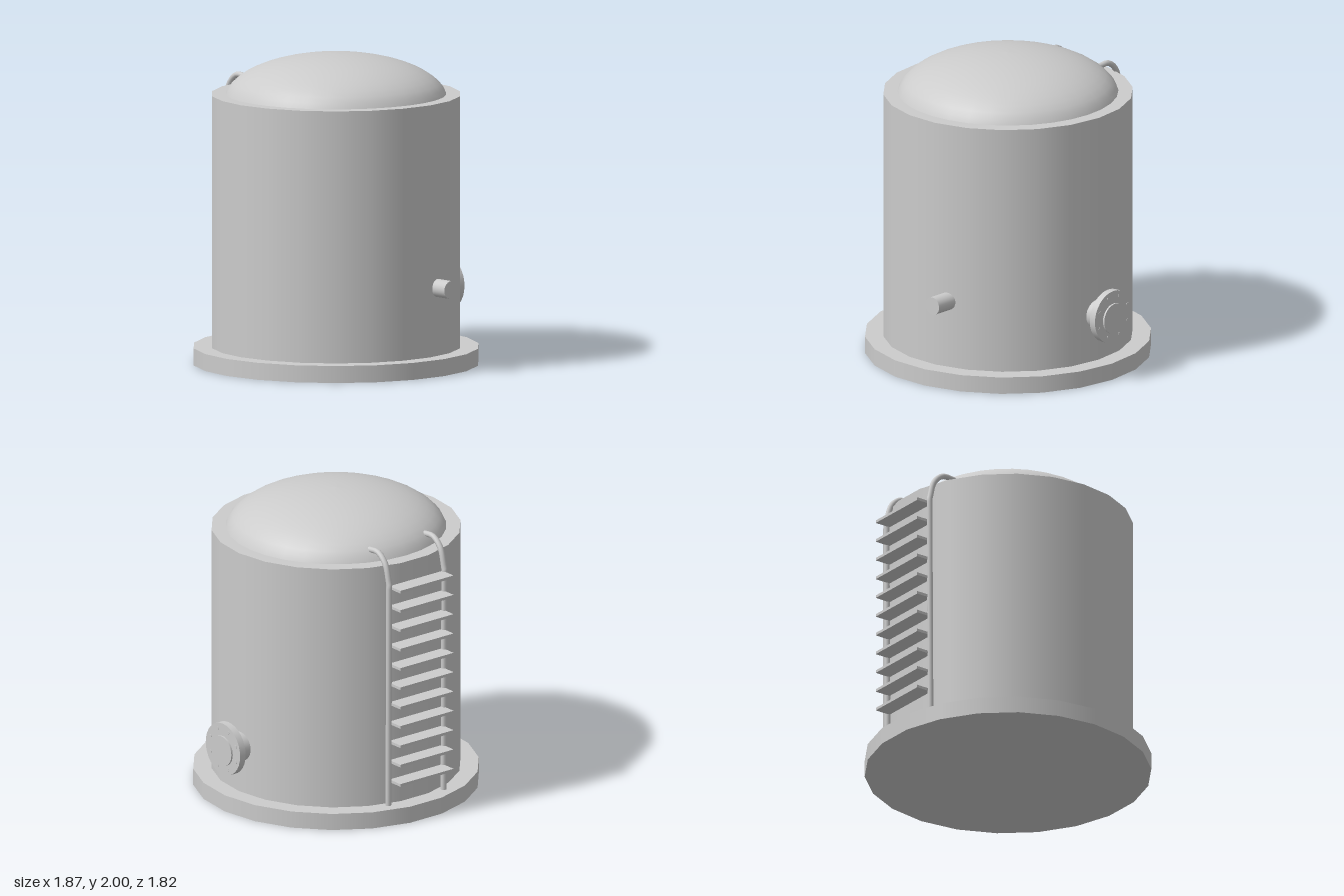
import * as THREE from 'three';

export function createModel() {
  const model = new THREE.Group();
  const material = new THREE.MeshStandardMaterial({ color: 0xcccccc });
  const CX = -0.017; // tank axis
  const SIDES = 22;

  function add(name, geometry, x = 0, y = 0, z = 0, parent = model) {
    const mesh = new THREE.Mesh(geometry, material);
    mesh.name = name;
    mesh.position.set(x, y, z);
    parent.add(mesh);
    return mesh;
  }
  // Upright drum with a corner pointing to +x
  const drum = (r, h) => new THREE.CylinderGeometry(r, r, h, SIDES, 1, false, Math.PI / 2);

  // Base slab and tank wall
  add('base', drum(0.92, 0.11), CX, 0.055, 0);
  add('tankWall', drum(0.802, 1.63), CX, 0.925, 0);

  // Domed roof: upper part of a squashed ellipse
  const dome = [];
  const start = Math.asin(0.04 / 0.3);
  for (let i = 0; i <= 12; i++) {
    const a = start + (Math.PI / 2 - start) * (i / 12);
    dome.push(new THREE.Vector2(i === 12 ? 0 : 0.714 * Math.cos(a), 1.7 + 0.3 * Math.sin(a)));
  }
  add('domeRoof', new THREE.LatheGeometry(dome, 32), CX, 0, 0);

  // Flanged outlet on the left side
  const outlet = new THREE.Group();
  outlet.name = 'flangedOutlet';
  outlet.position.set(0, 0.43, 0);
  model.add(outlet);
  const alongX = (r, x0, x1, n) =>
    new THREE.CylinderGeometry(r, r, x1 - x0, n).rotateZ(-Math.PI / 2).translate((x0 + x1) / 2, 0, 0);
  add('outletPipe', alongX(0.1, 0.74, 0.93, 32), 0, -0.01, 0, outlet);
  add('outletFlange', alongX(0.174, 0.872, 0.918, 32), 0, 0, 0, outlet);
  for (let i = 0; i < 8; i++) {
    const a = ((i + 0.5) / 8) * Math.PI * 2;
    add('flangeBolt', alongX(0.012, 0.91, 0.921, 8), 0, 0.138 * Math.cos(a), 0.138 * Math.sin(a), outlet);
  }

  // Small drain pipe at the front
  add('drainPipe', new THREE.CylinderGeometry(0.058, 0.058, 0.185, 24).rotateX(Math.PI / 2), 0.178, 0.55, 0.8125);

  // Ladder at the back: two bent rails and flat steps
  const ladder = new THREE.Group();
  ladder.name = 'ladder';
  model.add(ladder);
  const railPoints = [[0.11, -0.8], [1.62, -0.808], [1.75, -0.77], [1.81, -0.7], [1.808, -0.615]];
  for (const x of [-0.253, 0.203]) {
    const path = new THREE.CurvePath();
    const pts = railPoints.map(([y, z]) => new THREE.Vector3(x, y, z));
    path.add(new THREE.LineCurve3(pts[0], pts[1]));
    path.add(new THREE.CatmullRomCurve3(pts.slice(1)));
    add('ladderRail', new THREE.TubeGeometry(path, 64, 0.019, 10), 0, 0, 0, ladder);
    // Rounded rail tip
    add('railTip', new THREE.SphereGeometry(0.019, 10, 8), x, 1.808, -0.615, ladder);
  }
  for (let i = 0; i < 11; i++) {
    add('ladderStep', new THREE.BoxGeometry(0.44, 0.018, 0.11), -0.03, 0.272 + i * 0.1324, -0.85, ladder);
  }

  return model;
}
